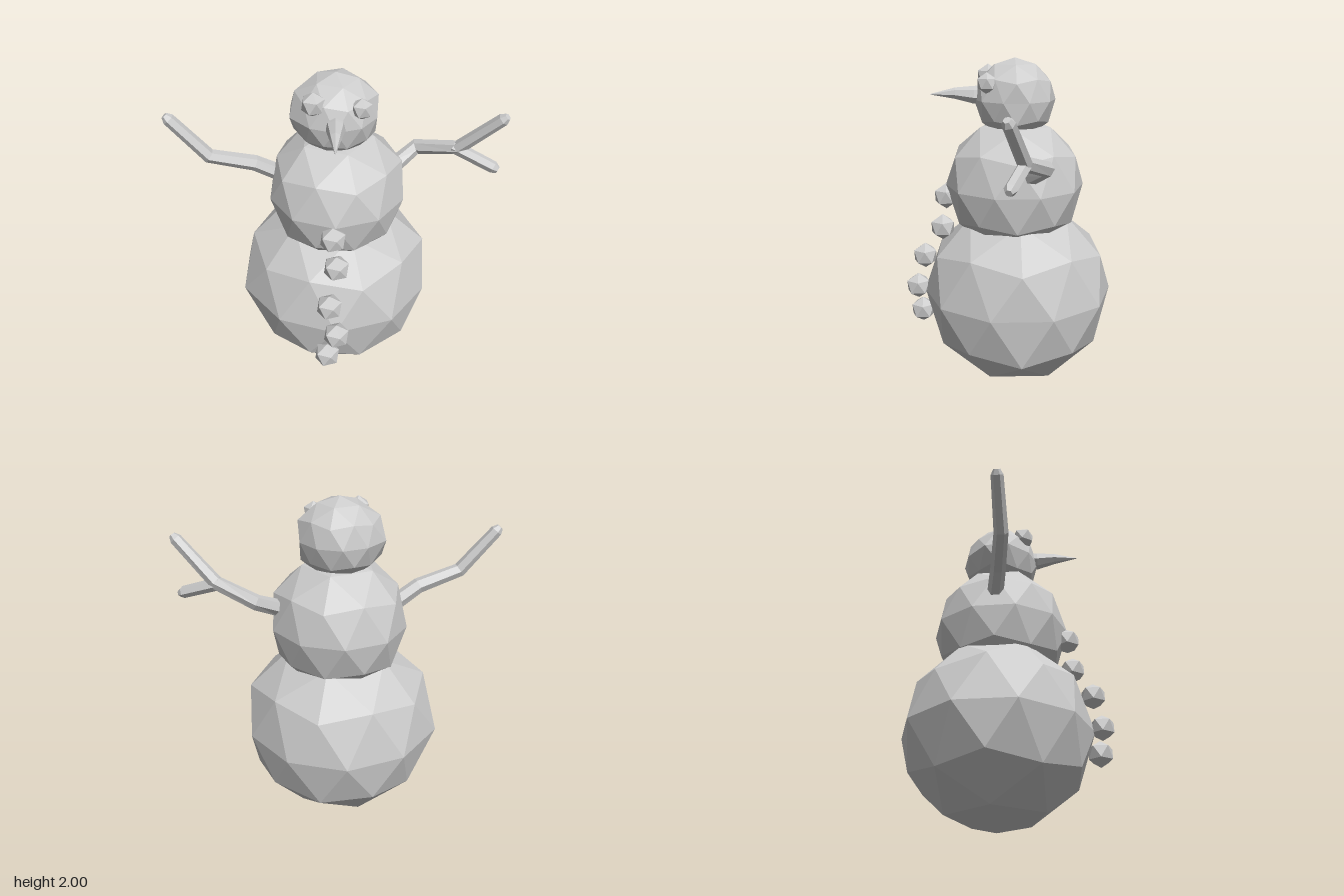
import * as THREE from 'three';

const snow = new THREE.MeshStandardMaterial({ color: 0xcccccc });
snow.name = 'snow grey';

const V = (x, y, z) => new THREE.Vector3(x, y, z);

function part(group, name, geometry) {
  const mesh = new THREE.Mesh(geometry, snow);
  mesh.name = name;
  group.add(mesh);
  return mesh;
}

// Faceted ball with a corner at the top; sides are pushed in or out for a hand-packed look
function ball(radius, detail, left = 1, right = 1) {
  const g = new THREE.IcosahedronGeometry(1, detail);
  g.rotateZ(-Math.atan(2 / (1 + Math.sqrt(5))));
  const p = g.attributes.position;
  for (let i = 0; i < p.count; i++) {
    const x = p.getX(i), y = p.getY(i);
    if (x < -0.8) p.setX(i, x * left);
    else if (x > 0.8 && Math.abs(y) > 0.1) p.setX(i, x * right);
  }
  g.scale(radius, radius, radius);
  g.computeVertexNormals();
  return g;
}

// Faceted limb: polygon rings along a path, closed at both ends
function limb(points, radii, sides, ref) {
  const rings = points.map((c, i) => {
    const a = points[Math.max(i - 1, 0)], b = points[Math.min(i + 1, points.length - 1)];
    const t = b.clone().sub(a).normalize();
    const n = ref.clone().addScaledVector(t, -ref.dot(t)).normalize();
    const s = t.clone().cross(n);
    return Array.from({ length: sides }, (_, j) => {
      const w = (j / sides) * Math.PI * 2;
      return c.clone().addScaledVector(n, Math.cos(w) * radii[i]).addScaledVector(s, Math.sin(w) * radii[i]);
    });
  });
  const tris = [];
  const last = rings.length - 1;
  for (let j = 0; j < sides; j++) {
    const k = (j + 1) % sides;
    for (let i = 0; i < last; i++) {
      const lo = rings[i], hi = rings[i + 1];
      tris.push(lo[j], lo[k], hi[k], lo[j], hi[k], hi[j]);
    }
    tris.push(points[0], rings[0][k], rings[0][j]);
    tris.push(points[last], rings[last][j], rings[last][k]);
  }
  const g = new THREE.BufferGeometry().setFromPoints(tris);
  g.computeVertexNormals();
  return g;
}

export function createModel() {
  const model = new THREE.Group();
  model.name = 'snowman';

  // Three stacked snowballs
  part(model, 'lowerBody', ball(0.578, 1, 1.05, 1.06)).position.set(0, 0.578, -0.06);
  part(model, 'upperBody', ball(0.415, 1, 0.97, 1.04)).position.set(0, 1.25, -0.04);
  part(model, 'head', ball(0.24, 1, 1.12, 1.1)).position.set(0, 1.76, -0.04);

  // Eyes
  part(model, 'rightEye', ball(0.072, 0)).position.set(-0.12, 1.885, 0.115);
  part(model, 'leftEye', ball(0.062, 0)).position.set(0.14, 1.865, 0.125);

  // Carrot nose
  part(model, 'nose', limb(
    [V(0, 1.785, 0.12), V(0, 1.785, 0.2), V(0, 1.795, 0.31), V(0, 1.79, 0.455)],
    [0.055, 0.053, 0.034, 0.002], 7, V(0, 1, 0)));

  // Row of buttons down the front
  const buttons = [
    [-0.015, 1.175, 0.375], [0.005, 0.985, 0.4], [-0.035, 0.79, 0.515],
    [0.005, 0.605, 0.56], [-0.05, 0.425, 0.54],
  ];
  buttons.forEach((b, i) => part(model, `button${i + 1}`, ball(0.08, 0)).position.set(...b));

  // Stick arms with blunt tips; the left one forks
  const z = V(0, 0, 1);
  part(model, 'rightArm', limb(
    [V(-0.28, 1.32, -0.05), V(-0.47, 1.44, -0.005), V(-0.72, 1.515, 0.04), V(-0.922, 1.752, 0.04), V(-0.942, 1.775, 0.04)],
    [0.05, 0.046, 0.042, 0.036, 0.02], 6, z));
  part(model, 'leftArm', limb(
    [V(0.34, 1.36, -0.1), V(0.48, 1.44, -0.19), V(0.71, 1.515, -0.06), V(0.925, 1.75, 0.03), V(0.945, 1.772, 0.04)],
    [0.05, 0.046, 0.042, 0.036, 0.02], 6, z));
  part(model, 'leftArmBranch', limb(
    [V(0.68, 1.515, -0.07), V(0.91, 1.43, 0.02), V(0.935, 1.418, 0.03)],
    [0.038, 0.036, 0.02], 6, z));

  return model;
}
